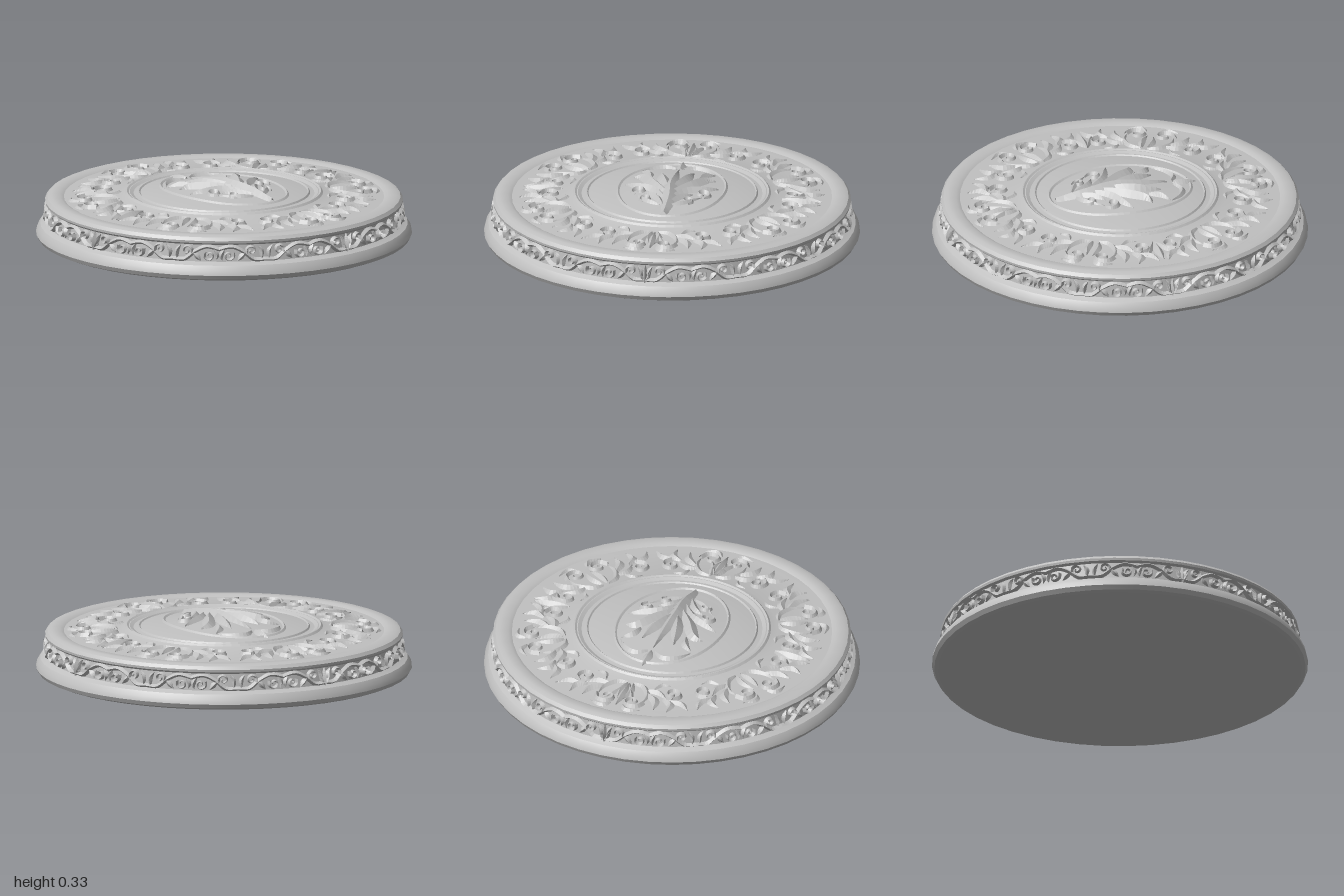
import * as THREE from 'three';
import { mergeGeometries, toCreasedNormals } from 'three/addons/utils/BufferGeometryUtils.js';

const stone = new THREE.MeshStandardMaterial({ color: 0xc0c0c0, side: THREE.DoubleSide });
stone.name = 'grey stone';

// Crown of the disc: [radius, height] from the rim to the centre
const CROWN = [[0.915, 0.238], [0.87, 0.238], [0.85, 0.228], [0.8, 0.23], [0.56, 0.238], [0.53, 0.25],
  [0.5, 0.256], [0.48, 0.247], [0.45, 0.25], [0.42, 0.258], [0.33, 0.264], [0.24, 0.279], [0.1, 0.293], [0, 0.297]];
// Outer edge from the underside up: foot moulding, step, frieze and shoulder
const EDGE = [[0, 0], [0.955, 0], [0.985, 0.012], [0.998, 0.035], [0.992, 0.06], [0.975, 0.085], [0.958, 0.093],
  [0.945, 0.1], [0.936, 0.19], [0.948, 0.2], [0.95, 0.213], [0.937, 0.23]];

function crownHeight(r) {
  for (let i = 1; i < CROWN.length; i++) {
    const [r0, y0] = CROWN[i - 1], [r1, y1] = CROWN[i];
    if (r >= r1) return y0 + (y1 - y0) * (r0 - r) / (r0 - r1);
  }
  return CROWN[CROWN.length - 1][1];
}

// Maps that lay flat (u, v, height) designs on the disc
const onTop = (x, z, h) => [x, crownHeight(Math.hypot(x, z)) + h, z];
const onRing = (angle, flip) => (u, v, h) => {
  const a = angle + flip * u / 0.69, r = 0.69 + v;
  return onTop(Math.sin(a) * r, Math.cos(a) * r, h);
};
const onFrieze = (angle, flip) => (u, v, h) => {
  const a = angle + flip * u / 0.94, r = 0.945 - (v + 0.045) * 0.1 + h;
  return [Math.sin(a) * r, 0.146 + v, Math.cos(a) * r];
};

// Ridged blade along a curve; the profile function gives its relative width
function blade(map, pts, width, height, profile = (t) => Math.sin(Math.PI * (0.12 + 0.88 * t)), closed = false) {
  const curve = new THREE.CatmullRomCurve3(pts.map(([u, v]) => new THREE.Vector3(u, v, 0)), closed);
  const n = Math.max(8, pts.length * 3), pos = [], idx = [];
  for (let i = 0; i <= n; i++) {
    const t = i / n, p = curve.getPoint(t), d = curve.getTangent(t), k = profile(t), w = width * k / 2;
    pos.push(...map(p.x - d.y * w, p.y + d.x * w, -0.004),
      ...map(p.x, p.y, height * (0.25 + 0.75 * k)),
      ...map(p.x + d.y * w, p.y - d.x * w, -0.004));
    if (i === n) continue;
    const a = i * 3;
    for (const j of [a, a + 1]) idx.push(j, j + 1, j + 3, j + 1, j + 4, j + 3);
  }
  const g = new THREE.BufferGeometry();
  g.setAttribute('position', new THREE.Float32BufferAttribute(pos, 3));
  g.setIndex(idx);
  const flat = g.toNonIndexed();
  flat.computeVertexNormals();
  return flat;
}

function spiral(cx, cy, radius, start, turns) {
  return Array.from({ length: 9 }, (_, i) => {
    const t = i / 8, a = start + t * turns * Math.PI * 2, r = radius * (1 - 0.8 * t);
    return [cx + Math.cos(a) * r, cy + Math.sin(a) * r];
  });
}

const even = () => 1;
const taper = (t) => 1 - 0.6 * t;

// One acanthus scroll of the ring on the crown
function ringScroll(map) {
  return [
    blade(map, [[0.02, -0.12], [0.09, -0.1], [0.13, -0.03], [0.12, 0.05]], 0.045, 0.016),
    blade(map, spiral(0.07, 0.05, 0.055, 0, 1.2), 0.03, 0.02, taper),
    blade(map, [[0.02, -0.11], [0.03, -0.04], [0.015, 0.04]], 0.05, 0.018),
    blade(map, [[0.03, 0.09], [0.06, 0.13], [0.12, 0.12]], 0.04, 0.014),
    blade(map, [[0.13, -0.04], [0.18, 0.02], [0.18, 0.1]], 0.06, 0.018),
    blade(map, [[0.12, -0.07], [0.19, -0.06], [0.24, 0.0]], 0.055, 0.016),
    blade(map, spiral(0.27, -0.045, 0.055, Math.PI / 2, -1.2), 0.03, 0.02, taper),
    blade(map, [[0.22, 0.0], [0.26, 0.05], [0.24, 0.12]], 0.055, 0.018),
    blade(map, [[0.25, 0.02], [0.31, 0.04], [0.34, 0.11]], 0.055, 0.016),
    blade(map, [[0.16, -0.09], [0.2, -0.13], [0.26, -0.125]], 0.035, 0.013),
  ];
}

// One running scroll of the frieze
function friezeScroll(map) {
  return [
    blade(map, [[0, -0.035], [0.06, -0.035], [0.12, 0.01], [0.18, 0.035], [0.25, 0.02]], 0.026, 0.016, even),
    blade(map, spiral(0.075, 0.012, 0.03, -0.5, 1.2), 0.018, 0.02, taper),
    blade(map, spiral(0.195, -0.012, 0.03, 2.6, 1.2), 0.018, 0.02, taper),
    blade(map, [[0.02, -0.03], [0.02, 0.01], [0.04, 0.04]], 0.03, 0.016),
    blade(map, [[0.11, 0], [0.13, -0.02], [0.15, -0.042]], 0.035, 0.016),
    blade(map, [[0.22, 0.02], [0.235, -0.01], [0.23, -0.04]], 0.03, 0.016),
  ];
}

// Upright bud that marks each quarter
function bud(map, s) {
  return [
    blade(map, [[0, -s], [0, 0], [0, s]], s * 0.55, 0.024),
    ...[1, -1].map((m) => blade(map, [[0, -s], [m * s * 0.4, -s * 0.2], [m * s * 0.7, s * 0.5]], s * 0.35, 0.018)),
  ];
}

// Central leaf spray inside its oval frame
function centralLeaf() {
  const parts = [
    blade(onTop, [[0.01, 0.36], [0.015, 0.2], [0, 0.05], [0, -0.08], [0, -0.26]], 0.1, 0.036),
    blade(onTop, [[0, -0.29], [0, -0.35], [0, -0.42]], 0.06, 0.022),
  ];
  for (const m of [1, -1]) {
    const lobe = (pts, w, h) => parts.push(blade(onTop, pts.map(([x, z]) => [x * m, z]), w, h));
    lobe([[0.01, 0.06], [0.06, -0.08], [0.09, -0.2]], 0.075, 0.03);
    lobe([[0.01, 0.12], [0.1, 0], [0.17, -0.1], [0.22, -0.11]], 0.08, 0.03);
    lobe([[0.01, 0.18], [0.09, 0.08], [0.19, 0.03], [0.25, 0.0]], 0.06, 0.025);
    lobe([[0.01, 0.26], [0.07, 0.16], [0.13, 0.12]], 0.05, 0.022);
    lobe([[0.02, -0.29], [0.08, -0.32], [0.15, -0.29], [0.2, -0.23]], 0.04, 0.018);
    lobe([[0.13, -0.12], [0.15, -0.18], [0.2, -0.22]], 0.05, 0.022);
    lobe([[0.03, 0.26], [0.1, 0.22], [0.18, 0.14]], 0.035, 0.016);
    lobe(spiral(m > 0 ? 0.18 : 0.16, 0.1, 0.045, 1.2, -1.1), 0.03, 0.02);
    lobe(spiral(0.11, 0.2, 0.035, 1.2, -1.1), 0.025, 0.018);
  }
  return parts;
}

export function createModel() {
  const group = new THREE.Group();
  const add = (name, geometry) => {
    const mesh = new THREE.Mesh(geometry, stone);
    mesh.name = name;
    group.add(mesh);
  };

  // Turned disc with foot moulding, frieze band and domed crown
  const profile = [...EDGE, ...CROWN].map(([r, y]) => new THREE.Vector2(r, y));
  add('disc', toCreasedNormals(new THREE.LatheGeometry(profile, 48), 0.5));

  // Raised rings and the oval frame
  const loop = (rx, rz) => Array.from({ length: 24 }, (_, i) => {
    const a = i / 24 * Math.PI * 2;
    return [Math.cos(a) * rx, Math.sin(a) * rz];
  });
  add('crownRings', mergeGeometries([[0.515, 0.515, 0.03], [0.45, 0.45, 0.02], [0.285, 0.385, 0.028]]
    .map(([rx, rz, w]) => blade(onTop, loop(rx, rz), w, 0.008, even, true))));

  add('centralLeaf', mergeGeometries(centralLeaf()));

  // Mirrored scroll pairs around the crown and the frieze
  const repeat = (count, map, motif) => Array.from({ length: count }, (_, k) => {
    const step = Math.PI * 2 / count;
    return motif(k % 2 ? map((k + 1) * step, -1) : map(k * step, 1));
  }).flat();
  add('crownScrolls', mergeGeometries(repeat(12, onRing, ringScroll)));
  add('friezeScrolls', mergeGeometries(repeat(24, onFrieze, friezeScroll)));

  const quarters = [0, 1, 2, 3].map((q) => q * Math.PI / 2);
  add('crownBuds', mergeGeometries(quarters.flatMap((a) => bud(onRing(a, 1), 0.1))));
  add('friezeBuds', mergeGeometries(quarters.flatMap((a) => bud(onFrieze(a, 1), 0.05))));
  return group;
}
